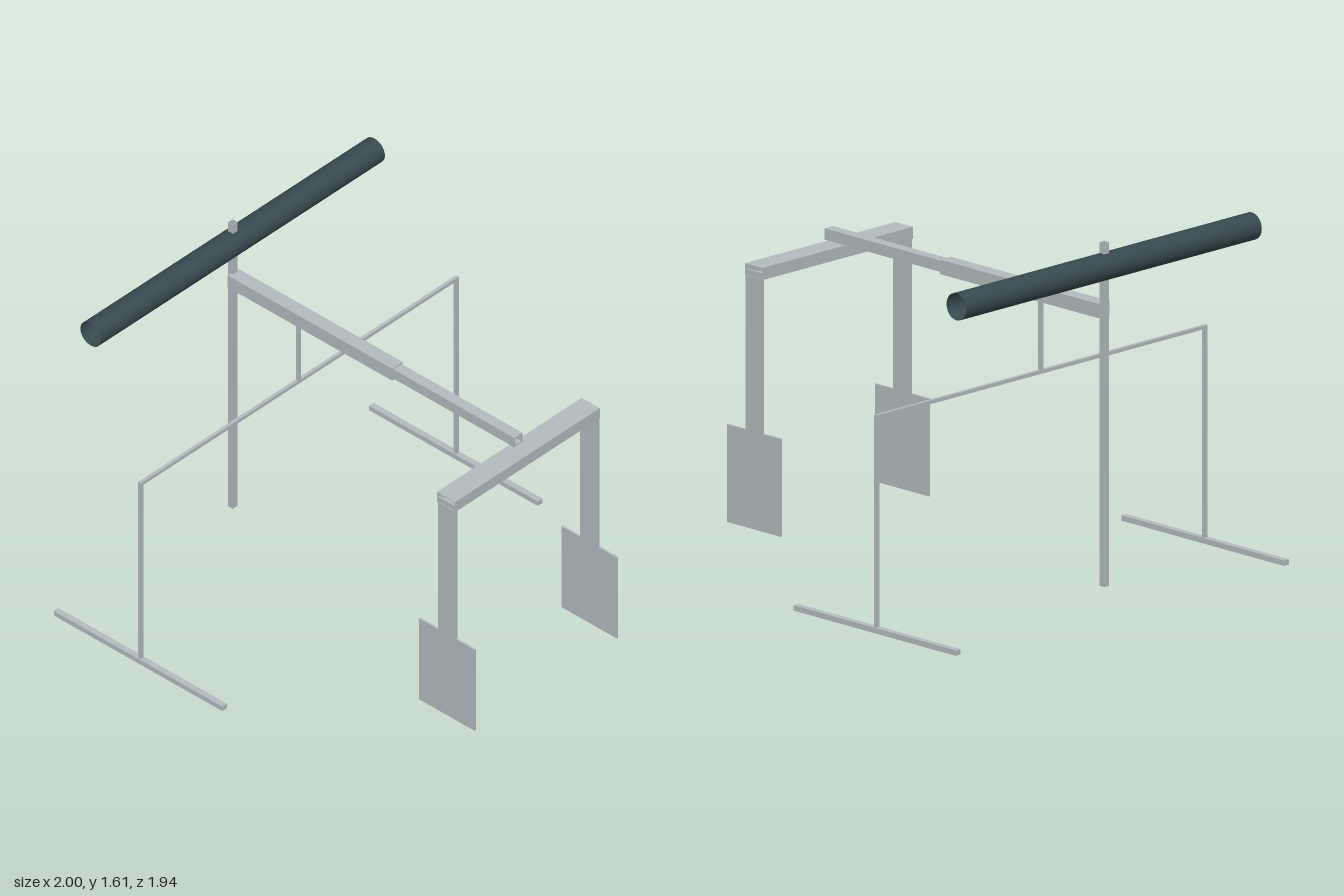
import * as THREE from 'three';

const steel = new THREE.MeshStandardMaterial({ color: 0xb2bbbe });
steel.name = 'pale steel';
const darkPipe = new THREE.MeshStandardMaterial({ color: 0x37494f, side: THREE.DoubleSide });
darkPipe.name = 'dark slate';

export function createModel() {
  const model = new THREE.Group();
  model.name = 'gantryFrame';

  const add = (name, geometry, material = steel) => {
    const mesh = new THREE.Mesh(geometry, material);
    mesh.name = name;
    model.add(mesh);
    return mesh;
  };

  // Solid bar given by its limits on each axis
  const bar = (name, [x0, x1], [y0, y1], [z0, z1]) =>
    add(name, new THREE.BoxGeometry(x1 - x0, y1 - y0, z1 - z0))
      .position.set((x0 + x1) / 2, (y0 + y1) / 2, (z0 + z1) / 2);

  // Rectangular tube, open at both ends, running along local z from 0
  const hollowTube = (name, w, h, wall, length) => {
    const rect = (Type, a, b) => new Type([
      new THREE.Vector2(-a, -b), new THREE.Vector2(a, -b),
      new THREE.Vector2(a, b), new THREE.Vector2(-a, b),
    ]);
    const shape = rect(THREE.Shape, w / 2, h / 2);
    shape.holes.push(rect(THREE.Path, w / 2 - wall, h / 2 - wall));
    return add(name, new THREE.ExtrudeGeometry(shape, { depth: length, bevelEnabled: false }));
  };

  // Ground runners and uprights on both sides
  for (const [side, s] of [['left', 1], ['right', -1]]) {
    const span = (a, b) => (s > 0 ? [a, b] : [-b, -a]);
    bar(side + 'Runner', span(0.971, 1), [0, 0.024], [-0.972, 0.012]);
    bar(side + 'Upright', span(0.977, 0.993), [0.024, 0.951], [-0.486, -0.47]);
  }

  // Crossbar with the short strut that carries the arm
  bar('crossbar', [-0.993, 0.993], [0.951, 0.967], [-0.486, -0.47]);
  bar('armStrut', [-0.008, 0.008], [0.967, 1.282], [-0.486, -0.47]);

  // Telescopic arm: outer sleeve and narrower sliding section
  hollowTube('armSleeve', 0.066, 0.064, 0.007, 0.96).position.set(0, 1.312, -0.86);
  hollowTube('armSlider', 0.051, 0.05, 0.007, 0.956).position.set(0, 1.312, -0.15);

  // Rear mast
  const mast = hollowTube('mast', 0.028, 0.028, 0.003, 1.526);
  mast.rotation.x = -Math.PI / 2;
  mast.position.set(0, 0.086, -0.862);

  // Round open pipe across the mast
  const pipe = add('crossPipe', new THREE.CylinderGeometry(0.06, 0.06, 1.774, 40, 1, true), darkPipe);
  pipe.rotation.z = Math.PI / 2;
  pipe.position.set(0, 1.504, -0.862);

  // Front beam, a hollow tube open at the sides
  const beam = hollowTube('frontBeam', 0.106, 0.054, 0.003, 0.904);
  beam.rotation.y = Math.PI / 2;
  beam.position.set(-0.452, 1.231, 0.806);

  // Hanging paddle plates, narrow above and wide below
  const outline = new THREE.Shape([
    [-0.162, 0.086], [0.162, 0.086], [0.162, 0.52], [0.052, 0.52],
    [0.052, 1.232], [-0.052, 1.232], [-0.052, 0.52], [-0.162, 0.52],
  ].map(([z, y]) => new THREE.Vector2(z, y)));
  for (const [side, s] of [['left', 1], ['right', -1]]) {
    const paddle = add(side + 'Paddle',
      new THREE.ExtrudeGeometry(outline, { depth: 0.009, bevelEnabled: false }));
    paddle.rotation.y = Math.PI / 2;
    paddle.position.set(s * 0.444 - 0.0045, 0, 0.808);
  }

  return model;
}
